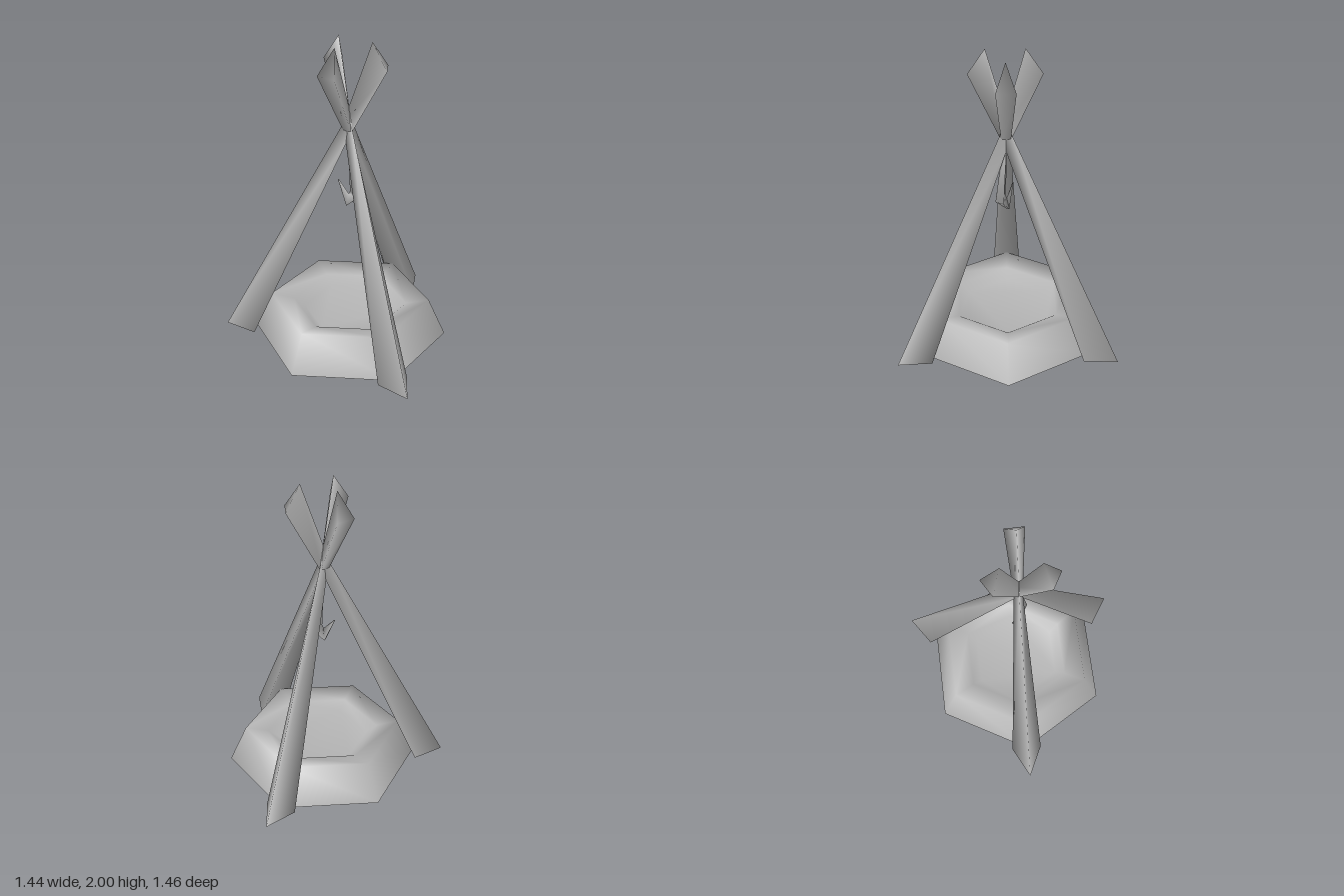
import * as THREE from 'three';

const stone = new THREE.MeshStandardMaterial({ color: 0xb8b8b8, side: THREE.DoubleSide });
stone.name = 'plain grey';

const CENTRE_Z = 0.1;

// Skin a list of equal-sized cross-sections (arrays of [x, y, z]); smooth shared normals.
function loft(sections, capStart = true, capEnd = true) {
  const n = sections[0].length;
  const index = [];
  for (let s = 0; s < sections.length - 1; s++) {
    for (let i = 0; i < n; i++) {
      const j = (i + 1) % n;
      const a = s * n + i, b = s * n + j, c = a + n, d = b + n;
      index.push(a, c, b, b, c, d);
    }
  }
  const last = (sections.length - 1) * n;
  for (let i = 1; i < n - 1; i++) {
    if (capStart) index.push(0, i, i + 1);
    if (capEnd) index.push(last, last + i + 1, last + i);
  }
  const geo = new THREE.BufferGeometry();
  geo.setAttribute('position', new THREE.Float32BufferAttribute(sections.flat(2), 3));
  geo.setIndex(index);
  geo.computeVertexNormals();
  return geo;
}

// Triangular pole section: one outer ridge and two inner corners, pointing along -z.
const poleSection = (outR, outY, inR, inY, half) => [
  [0, outY, -outR], [half, inY, -inR], [-half, inY, -inR],
];

// Ring of six corners with a vertex facing front.
const hexRing = (r, y) => Array.from({ length: 6 }, (_, i) => {
  const a = (i * Math.PI) / 3;
  return [r * Math.sin(a), y, r * Math.cos(a)];
});

export function createModel() {
  const model = new THREE.Group();
  model.name = 'campfireTripod';

  // Three poles pinched where they cross
  const poleGeo = loft([
    poleSection(0.83, 0, 0.63, 0, 0.1),
    poleSection(0.043, 1.47, 0, 1.4, 0.027),
    poleSection(-0.14, 2, -0.23, 1.84, 0.062),
  ]);
  ['backPole', 'frontLeftPole', 'frontRightPole'].forEach((name, i) => {
    const pole = new THREE.Mesh(poleGeo, stone);
    pole.name = name;
    pole.rotation.y = [0, -1, 1][i] * (2 * Math.PI / 3);
    pole.position.z = CENTRE_Z;
    model.add(pole);
  });

  // Hexagonal fire ring, open underneath, with a sunken bed
  const ring = new THREE.Mesh(
    loft([hexRing(0.63, 0), hexRing(0.52, 0.25), hexRing(0.37, 0.22), hexRing(0.3, 0.17)], false, true), stone);
  ring.name = 'fireRing';
  ring.position.z = CENTRE_Z;
  model.add(ring);

  // Hanging hook: thin strand that widens, bends and ends in an upturned point
  const hook = new THREE.Mesh(loft([
    [[-0.008, 1.42, 0], [0.01, 1.42, 0.012], [0.01, 1.42, -0.012]],
    [[0.005, 1.03, 0], [0.088, 1.02, 0.03], [0.088, 1.02, -0.03]],
    [[-0.005, 1.01, 0], [-0.015, 0.925, 0.012], [-0.015, 0.925, -0.012]],
    [[-0.08, 1.09, 0], [-0.085, 1.088, 0.003], [-0.085, 1.088, -0.003]],
  ]), stone);
  hook.name = 'hook';
  hook.position.z = CENTRE_Z;
  model.add(hook);

  return model;
}
